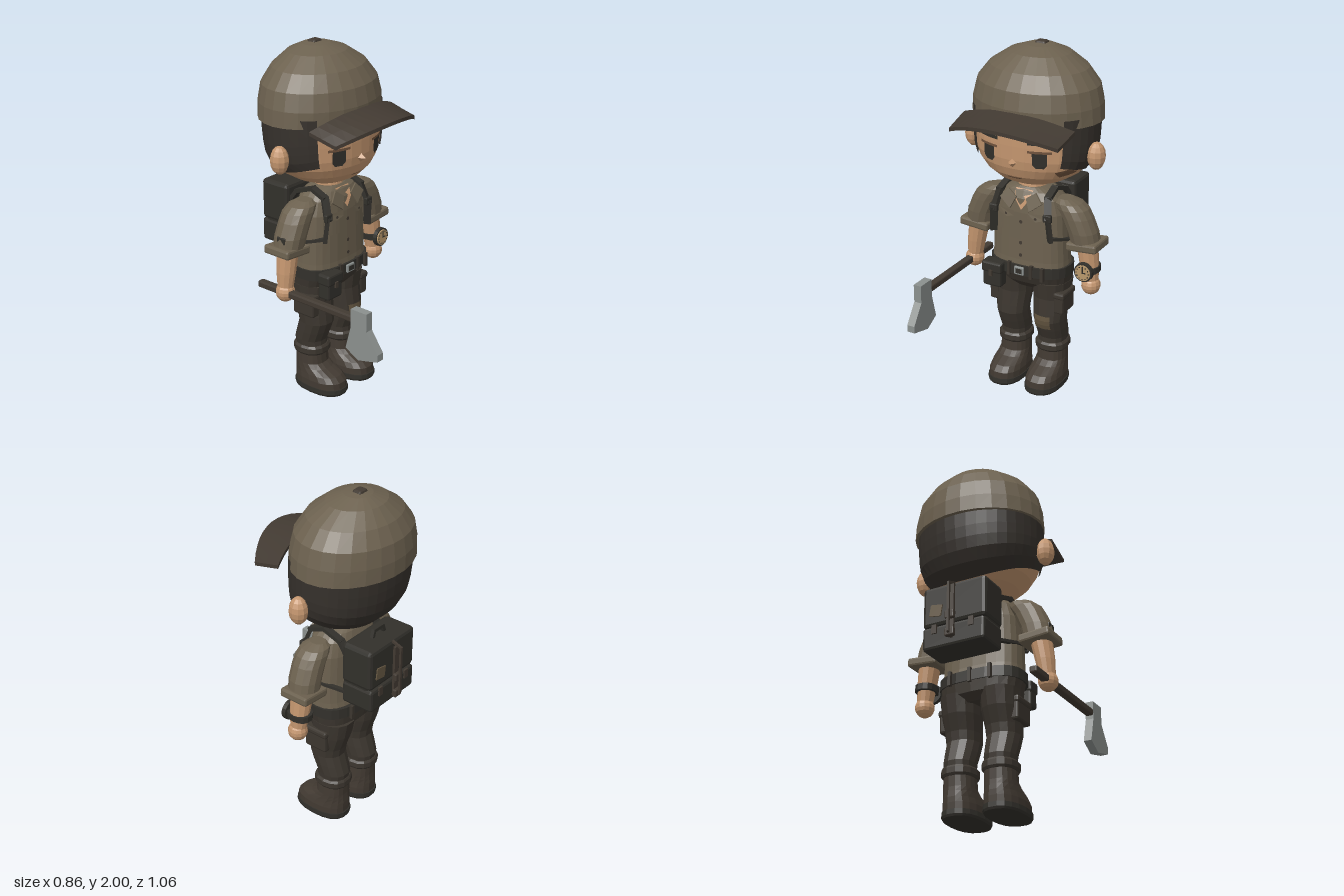
import * as THREE from 'three';
import { RoundedBoxGeometry } from 'three/addons/geometries/RoundedBoxGeometry.js';

const mat = (name, color, side = THREE.FrontSide) => {
  const m = new THREE.MeshStandardMaterial({ color, side });
  m.name = name;
  return m;
};

export function createModel() {
  const model = new THREE.Group();
  const skin = mat('skin', 0xc4966f), khaki = mat('khaki cloth', 0x6c614f);
  const trouser = mat('dark trousers', 0x3c362f), hairDark = mat('dark hair', 0x36312c, THREE.DoubleSide);
  const leather = mat('dark leather', 0x423a32), canvas = mat('black canvas', 0x32302b);
  const steel = mat('steel', 0x8b908e), tan = mat('watch face tan', 0xb8986c);
  const patchBrown = mat('patch brown', 0x635540), crease = mat('crease brown', 0x70533d);

  // faceted mesh helper
  const add = (name, geo, m, x = 0, y = 0, z = 0, parent = model) => {
    const g = geo.index ? geo.toNonIndexed() : geo;
    g.computeVertexNormals();
    const mesh = new THREE.Mesh(g, m);
    mesh.name = name;
    mesh.position.set(x, y, z);
    parent.add(mesh);
    return mesh;
  };
  const box = (name, m, w, h, d, x, y, z) => add(name, new THREE.BoxGeometry(w, h, d), m, x, y, z);
  const rbox = (name, m, w, h, d, x, y, z, r = 0.012) => add(name, new RoundedBoxGeometry(w, h, d, 1, r), m, x, y, z);
  const power = (v, e) => Math.sign(v) * Math.pow(Math.abs(v), 2 / e);

  // stacked superellipse rings, each row [y, centre x, half width, front z, back z]
  const loft = (rows, n = 16, e = 2) => {
    const pos = [], idx = [];
    for (const [y, cx, rx, zf, zb] of rows) for (let i = 0; i < n; i++) {
      const a = (i / n) * Math.PI * 2;
      pos.push(cx + rx * power(Math.cos(a), e), y, (zf + zb) / 2 + ((zf - zb) / 2) * power(Math.sin(a), e));
    }
    const top = (rows.length - 1) * n;
    for (let i = 0; i < n; i++) {
      const k = (i + 1) % n;
      for (let j = 0; j < top; j += n) idx.push(j + i, j + n + i, j + k, j + n + i, j + n + k, j + k);
      if (i > 0 && i < n - 1) idx.push(0, i, k, top, top + k, top + i);
    }
    const g = new THREE.BufferGeometry();
    g.setAttribute('position', new THREE.Float32BufferAttribute(pos, 3));
    g.setIndex(idx);
    return g;
  };

  // thin painted plate laid onto the front of a target mesh
  const ray = new THREE.Raycaster();
  const decal = (name, geo, m, target, x, y, turn = 0, lift = 0.006) => {
    geo.rotateZ(turn).translate(x, y, 0);
    const p = geo.attributes.position;
    for (let i = 0; i < p.count; i++) {
      ray.set(new THREE.Vector3(p.getX(i), p.getY(i), 1), new THREE.Vector3(0, 0, -1));
      const hit = ray.intersectObject(target)[0];
      p.setZ(i, (hit ? hit.point.z : -0.1) + lift);
    }
    return add(name, geo, m);
  };
  const plane = (w, h) => new THREE.PlaneGeometry(w, h, 4, 3);
  const poly = (...pts) => new THREE.ShapeGeometry(new THREE.Shape(pts.map(p => new THREE.Vector2(...p))));

  // flat strap of boxes following points
  const strap = (name, m, pts, w, t) => {
    const g = new THREE.Group();
    g.name = name;
    for (let i = 0; i + 1 < pts.length; i++) {
      const a = new THREE.Vector3(...pts[i]), b = new THREE.Vector3(...pts[i + 1]);
      const s = add(name + 'Segment', new THREE.BoxGeometry(w, t, a.distanceTo(b) + t * 0.7), m, 0, 0, 0, g);
      s.position.copy(a).lerp(b, 0.5);
      s.lookAt(b);
    }
    model.add(g);
  };

  // head and neck
  const headRows = [[1.237, 0, 0.09, -0.08, -0.25], [1.25, 0, 0.14, -0.03, -0.28], [1.275, 0, 0.2, 0.02, -0.33],
    [1.32, 0, 0.272, 0.06, -0.385], [1.37, 0, 0.315, 0.08, -0.42], [1.42, 0, 0.337, 0.088, -0.44],
    [1.5, 0, 0.346, 0.09, -0.455], [1.66, 0, 0.35, 0.088, -0.465]];
  const head = add('head', loft(headRows, 32, 2.1), skin);
  add('neck', loft([[1.15, 0, 0.085, -0.05, -0.22], [1.26, 0, 0.085, -0.07, -0.23]], 14), skin);

  // hair shell around the sides and back, hem dropping toward the nape
  const headAt = y => {
    let j = 0;
    while (j < headRows.length - 2 && headRows[j + 1][0] < y) j++;
    const t = (y - headRows[j][0]) / (headRows[j + 1][0] - headRows[j][0]);
    return headRows[j].map((v, k) => v + (headRows[j + 1][k] - v) * t);
  };
  const hair = new THREE.PlaneGeometry(1, 1, 28, 6), hp = hair.attributes.position;
  for (let i = 0; i < hp.count; i++) {
    const a = Math.PI * (0.5 + 0.26 + (hp.getX(i) + 0.5) * 1.48), v = hp.getY(i) + 0.5;
    const hem = 1.4 - 0.25 * (0.02 - (-0.19 + 0.28 * Math.sin(a)));
    const y = hem + (1.66 - hem) * v, r = headAt(y);
    hp.setXYZ(i, (r[2] + 0.012) * power(Math.cos(a), 2.1), y,
      (r[3] + r[4]) / 2 + ((r[3] - r[4]) / 2 + 0.013) * power(Math.sin(a), 2.1));
  }
  add('hair', hair, hairDark);

  // cap, button and arched brim
  add('capCrown', loft([[1.612, 0, 0.377, 0.098, -0.498], [1.7, 0, 0.37, 0.1, -0.5], [1.795, 0, 0.347, 0.08, -0.487],
    [1.88, 0, 0.28, 0.025, -0.44], [1.95, 0, 0.175, -0.065, -0.37], [1.982, 0, 0.08, -0.15, -0.3], [1.99, 0, 0.02, -0.215, -0.25]], 26), khaki);
  rbox('capButton', leather, 0.064, 0.025, 0.056, 0, 1.988, -0.235);
  const brim = new THREE.BoxGeometry(2, 1, 1, 14, 1, 2), bp = brim.attributes.position;
  for (let i = 0; i < bp.count; i++) {
    const u = bp.getX(i), v = bp.getZ(i) + 0.5, q = u * u;
    bp.setXYZ(i, u * (0.337 - 0.01 * v), 1.68 - 0.07 * q - v * (0.028 + 0.015 * q) + bp.getY(i) * 0.02,
      0.09 - 0.07 * q + v * (0.23 - 0.06 * q));
  }
  add('capBrim', brim, leather);

  // face details
  for (const s of [-1, 1]) {
    add('ear', new THREE.SphereGeometry(1, 10, 8).scale(0.05, 0.078, 0.053), skin, s * 0.38, 1.44, -0.15);
    decal('eye', poly([-0.038, 0.045], [-0.038, -0.025], [-0.02, -0.045], [0.02, -0.045], [0.038, -0.025], [0.038, 0.045]), canvas, head, s * 0.153, 1.437);
    decal('eyelid', plane(0.125, 0.014), crease, head, s * 0.153, 1.484, 0, 0.008);
    decal('eyebrow', plane(0.125, 0.02), canvas, head, s * 0.153, 1.532);
  }
  const nose = add('nose', new THREE.ConeGeometry(0.028, 0.04, 4), skin, 0, 1.408, 0.1);
  nose.rotation.x = Math.PI / 2;
  decal('mouth', plane(0.085, 0.007), crease, head, 0, 1.313);
  decal('cheekSmudge', plane(0.07, 0.036), crease, head, 0.257, 1.357, 0.25);

  // shirt
  const shirt = add('shirt', loft([[0.715, 0, 0.235, 0, -0.285], [0.8, 0, 0.228, -0.008, -0.27], [0.92, 0, 0.224, -0.01, -0.262],
    [1.08, 0, 0.215, -0.012, -0.262], [1.16, 0, 0.19, -0.02, -0.255], [1.2, 0, 0.15, -0.04, -0.24], [1.22, 0, 0.09, -0.06, -0.22]], 24, 2.6), khaki);
  decal('openNeck', poly([-0.055, 0.055], [-0.04, 0], [0, -0.055], [0.04, 0], [0.055, 0.055]), skin, shirt, 0, 1.155);
  for (const s of [-1, 1]) {
    const collar = add('collar', new THREE.ExtrudeGeometry(new THREE.Shape([[0.085, 0.03], [0.03, -0.01], [0.06, -0.08], [0.13, -0.025]]
      .map(([x, y]) => new THREE.Vector2(s * x, y))), { depth: 0.01, bevelEnabled: false }), khaki, 0, 1.18, -0.02);
    collar.rotation.x = -0.3;
    decal('chestPocket', plane(0.095, 0.1), khaki, shirt, s * 0.092, 1.015);
    decal('pocketFlap', poly([-0.05, 0.02], [-0.05, -0.01], [0, -0.025], [0.05, -0.01], [0.05, 0.02]), khaki, shirt, s * 0.092, 1.07, 0, 0.012);
    decal('pocketButton', new THREE.CircleGeometry(0.008, 8), leather, shirt, s * 0.092, 1.065, 0, 0.016);
    strap('shoulderStrap', canvas, [[s * 0.178, 0.95, -0.015], [s * 0.168, 1.08, -0.004], [s * 0.15, 1.185, -0.04], [s * 0.145, 1.218, -0.13],
      [s * 0.145, 1.18, -0.24], [s * 0.15, 1.1, -0.3]], 0.04, 0.022);
    strap('lowerStrap', canvas, [[s * 0.178, 0.96, -0.015], [s * 0.232, 0.93, -0.13], [s * 0.17, 0.9, -0.3]], 0.025, 0.016);
    rbox('strapBuckle', canvas, 0.05, 0.045, 0.025, s * 0.168, 1.085, -0.002, 0.006);
  }
  for (const y of [1.03, 0.905, 0.83]) decal('shirtButton', new THREE.CircleGeometry(0.011, 8), leather, shirt, 0, y);

  // belt, buckle, loops and pouch
  add('belt', loft([[0.71, 0, 0.242, 0.008, -0.298], [0.77, 0, 0.242, 0.008, -0.296]], 24, 2.6), canvas);
  rbox('beltBuckle', steel, 0.06, 0.05, 0.014, 0, 0.74, 0.012, 0.005);
  box('buckleCentre', canvas, 0.038, 0.028, 0.01, 0, 0.74, 0.017);
  for (const x of [-0.07, 0.07, 0.14]) box('beltLoop', trouser, 0.018, 0.08, 0.02, x, 0.74, 0.003);
  for (const x of [-0.12, 0, 0.12]) box('rearBeltLoop', trouser, 0.018, 0.08, 0.02, x, 0.74, -0.298);
  rbox('beltPouch', canvas, 0.115, 0.13, 0.075, -0.162, 0.682, 0.005);
  rbox('pouchFlap', canvas, 0.125, 0.065, 0.085, -0.162, 0.735, 0.007);
  box('pouchClasp', leather, 0.022, 0.035, 0.01, -0.162, 0.705, 0.052);

  // trousers, cuffs, boots and thigh pockets
  add('hips', loft([[0.61, 0, 0.2, -0.07, -0.25], [0.65, 0, 0.226, -0.035, -0.285], [0.72, 0, 0.236, -0.005, -0.293]], 20, 2.6), trouser);
  for (const s of [-1, 1]) {
    const leg = add('trouserLeg', loft([[0.2, s * 0.12, 0.075, -0.085, -0.255], [0.3, s * 0.12, 0.085, -0.085, -0.268], [0.36, s * 0.12, 0.09, -0.06, -0.25],
      [0.42, s * 0.12, 0.092, -0.038, -0.232], [0.47, s * 0.12, 0.096, -0.042, -0.24], [0.56, s * 0.118, 0.104, -0.05, -0.272],
      [0.66, s * 0.118, 0.112, -0.035, -0.292]], 14, 2.2), trouser);
    add('trouserCuff', loft([[0.218, s * 0.12, 0.088, -0.078, -0.268], [0.23, s * 0.12, 0.096, -0.07, -0.275],
      [0.26, s * 0.12, 0.096, -0.07, -0.275], [0.272, s * 0.12, 0.086, -0.08, -0.268]], 14, 2.3), trouser);
    add('boot', loft([[0.035, s * 0.12, 0.1, 0.058, -0.263], [0.075, s * 0.12, 0.1, 0.055, -0.265], [0.105, s * 0.12, 0.094, 0.025, -0.265],
      [0.135, s * 0.12, 0.088, -0.045, -0.262], [0.16, s * 0.12, 0.085, -0.08, -0.26], [0.23, s * 0.12, 0.082, -0.085, -0.262]], 18, 2.4), leather);
    add('bootSole', loft([[0, s * 0.12, 0.1, 0.06, -0.265], [0.012, s * 0.12, 0.106, 0.066, -0.27], [0.038, s * 0.12, 0.105, 0.064, -0.27]], 18, 2.4), canvas);
    rbox('thighPocket', trouser, 0.06, 0.125, 0.145, s * 0.206, 0.545, -0.135);
    rbox('thighPocketFlap', trouser, 0.068, 0.04, 0.155, s * 0.208, 0.595, -0.135);
    if (s > 0) {
      decal('kneePatch', plane(0.1, 0.085), patchBrown, leg, 0.113, 0.418);
    }
  }

  // arms with rolled sleeves
  for (const s of [-1, 1]) {
    add('sleeve', loft([[0.92, s * 0.335, 0.082, -0.06, -0.225], [1.0, s * 0.317, 0.085, -0.052, -0.225], [1.08, s * 0.283, 0.087, -0.05, -0.222],
      [1.125, s * 0.255, 0.09, -0.052, -0.22], [1.155, s * 0.23, 0.078, -0.06, -0.21], [1.175, s * 0.21, 0.04, -0.09, -0.18]], 14, 2.2), khaki);
    const cuff = rbox('sleeveCuff', khaki, 0.182, 0.05, 0.178, s * 0.34, 0.922, -0.147);
    cuff.rotation.z = s * 0.08;
    add('forearm', loft([[0.7, s * 0.373, 0.042, -0.09, -0.178], [0.8, s * 0.362, 0.052, -0.08, -0.192], [0.93, s * 0.342, 0.06, -0.075, -0.205]], 12), skin);
    add('hand', new THREE.SphereGeometry(1, 12, 9).scale(0.054, 0.056, 0.055), skin, s * 0.375, 0.685, -0.132);
  }
  rbox('sleeveTag', canvas, 0.028, 0.05, 0.06, -0.388, 0.985, -0.135, 0.006);

  // wristwatch
  add('watchBand', loft([[0.768, 0.362, 0.059, -0.066, -0.208], [0.802, 0.36, 0.06, -0.065, -0.208]], 14, 2.3), canvas);
  const dial = (name, m, r, d, z) => add(name, new THREE.CylinderGeometry(r, r, d, 18).rotateX(Math.PI / 2), m, 0.362, 0.785, z);
  dial('watchCase', canvas, 0.055, 0.024, -0.066);
  dial('watchFace', tan, 0.046, 0.008, -0.052);
  for (let i = 0; i < 12; i++) {
    const a = (i / 12) * Math.PI * 2;
    box('watchTick', canvas, 0.006, 0.006, 0.004, 0.362 + 0.037 * Math.cos(a), 0.785 + 0.037 * Math.sin(a), -0.047);
  }
  box('minuteHand', canvas, 0.006, 0.034, 0.004, 0.362, 0.8, -0.047);
  box('hourHand', canvas, 0.022, 0.006, 0.004, 0.372, 0.787, -0.047);

  // axe held forward in the right hand
  rbox('axeHandle', leather, 0.043, 0.038, 0.72, -0.38, 0.685, 0.045, 0.008);
  const blade = new THREE.Shape([[0.46, 0.747], [0.355, 0.747], [0.355, 0.645], [0.32, 0.51], [0.405, 0.463], [0.535, 0.495], [0.535, 0.535], [0.46, 0.645]]
    .map(p => new THREE.Vector2(...p)));
  add('axeHead', new THREE.ExtrudeGeometry(blade, { depth: 0.046, bevelEnabled: false }).rotateY(-Math.PI / 2), steel, -0.357, 0, 0);

  // backpack
  rbox('backpackBody', canvas, 0.36, 0.36, 0.17, 0, 1.02, -0.365, 0.02);
  rbox('backpackFlap', canvas, 0.38, 0.235, 0.19, 0, 1.09, -0.375, 0.02);
  rbox('backpackPocket', canvas, 0.37, 0.13, 0.195, 0, 0.905, -0.378, 0.015);
  strap('carryHandle', canvas, [[-0.05, 1.2, -0.37], [-0.035, 1.245, -0.37], [0.035, 1.245, -0.37], [0.05, 1.2, -0.37]], 0.02, 0.018);
  box('closureStrap', leather, 0.035, 0.3, 0.014, 0, 1.03, -0.492);
  for (const y of [1.0, 0.9]) rbox('closureBuckle', leather, 0.055, 0.045, 0.025, 0, y, -0.505, 0.006);
  strap('packCord', leather, [[0, 0.88, -0.49], [0, 0.9, -0.523], [0, 1.18, -0.523], [0, 1.2, -0.47]], 0.014, 0.012);
  const packPatch = box('packPatch', patchBrown, 0.07, 0.065, 0.008, 0.105, 1.06, -0.473);
  packPatch.rotation.z = 0.15;
  for (const s of [-1, 1]) box('pocketTab', leather, 0.03, 0.05, 0.012, s * 0.11, 0.95, -0.478);
  return model;
}
